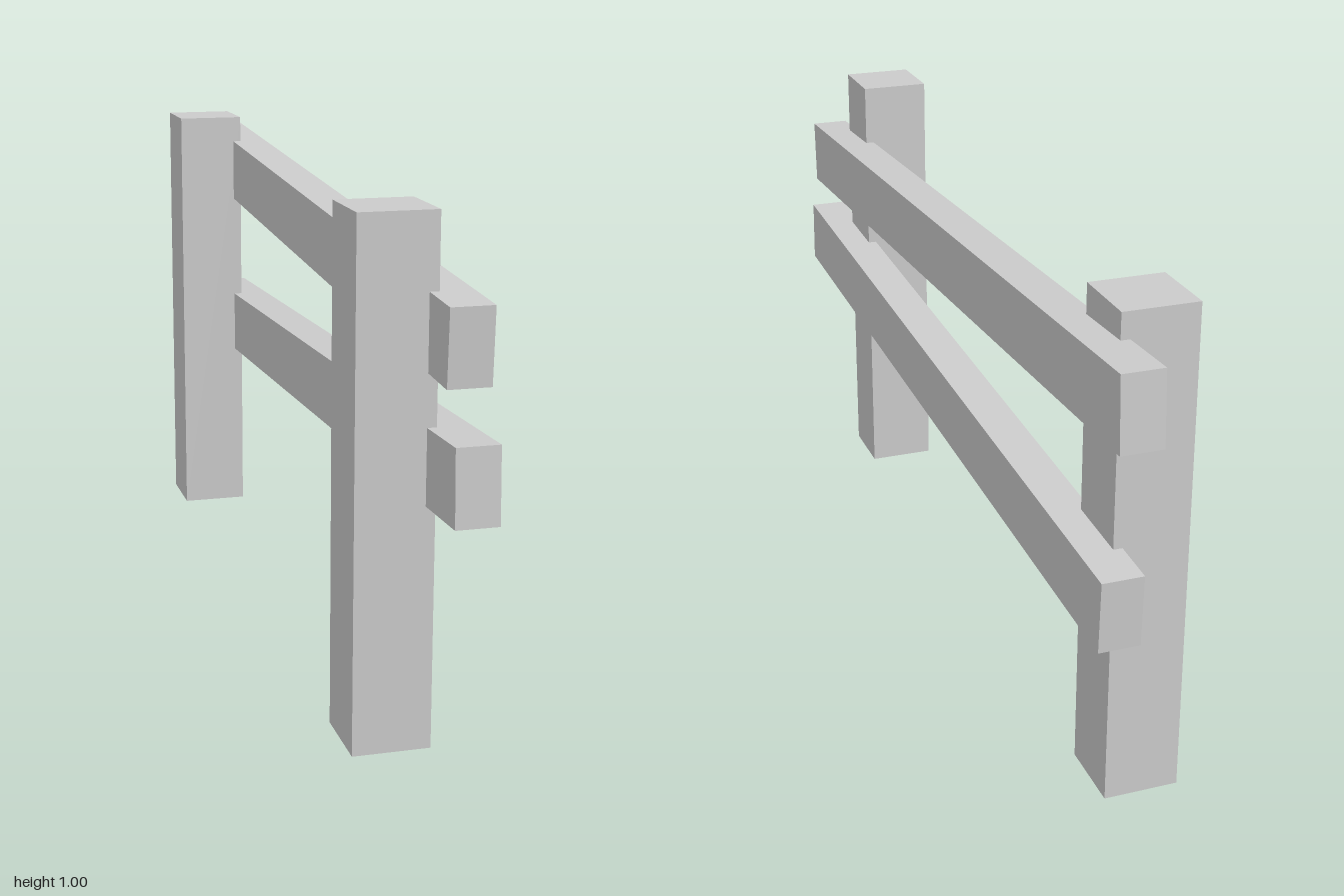
import * as THREE from 'three';

export function createModel() {
  const fence = new THREE.Group();
  fence.name = 'fence';
  const wood = new THREE.MeshStandardMaterial({ color: 0xcccccc, flatShading: true });

  const addBeam = (name, size, position, tilt = 0) => {
    const beam = new THREE.Mesh(new THREE.BoxGeometry(...size), wood);
    beam.name = name;
    beam.position.set(...position);
    beam.rotation.x = tilt;
    fence.add(beam);
  };

  // Two square upright posts
  addBeam('frontPost', [0.15, 0.995, 0.15], [-0.033, 0.4975, 0.77]);
  addBeam('backPost', [0.15, 0.995, 0.15], [-0.033, 0.4975, -0.77]);

  // Two crooked rails, let slightly into the posts
  addBeam('upperRail', [0.082, 0.144, 1.946], [0.065, 0.827, -0.024], 0.0535);
  addBeam('lowerRail', [0.082, 0.144, 1.939], [0.065, 0.504, 0.0285], -0.0413);

  return fence;
}
